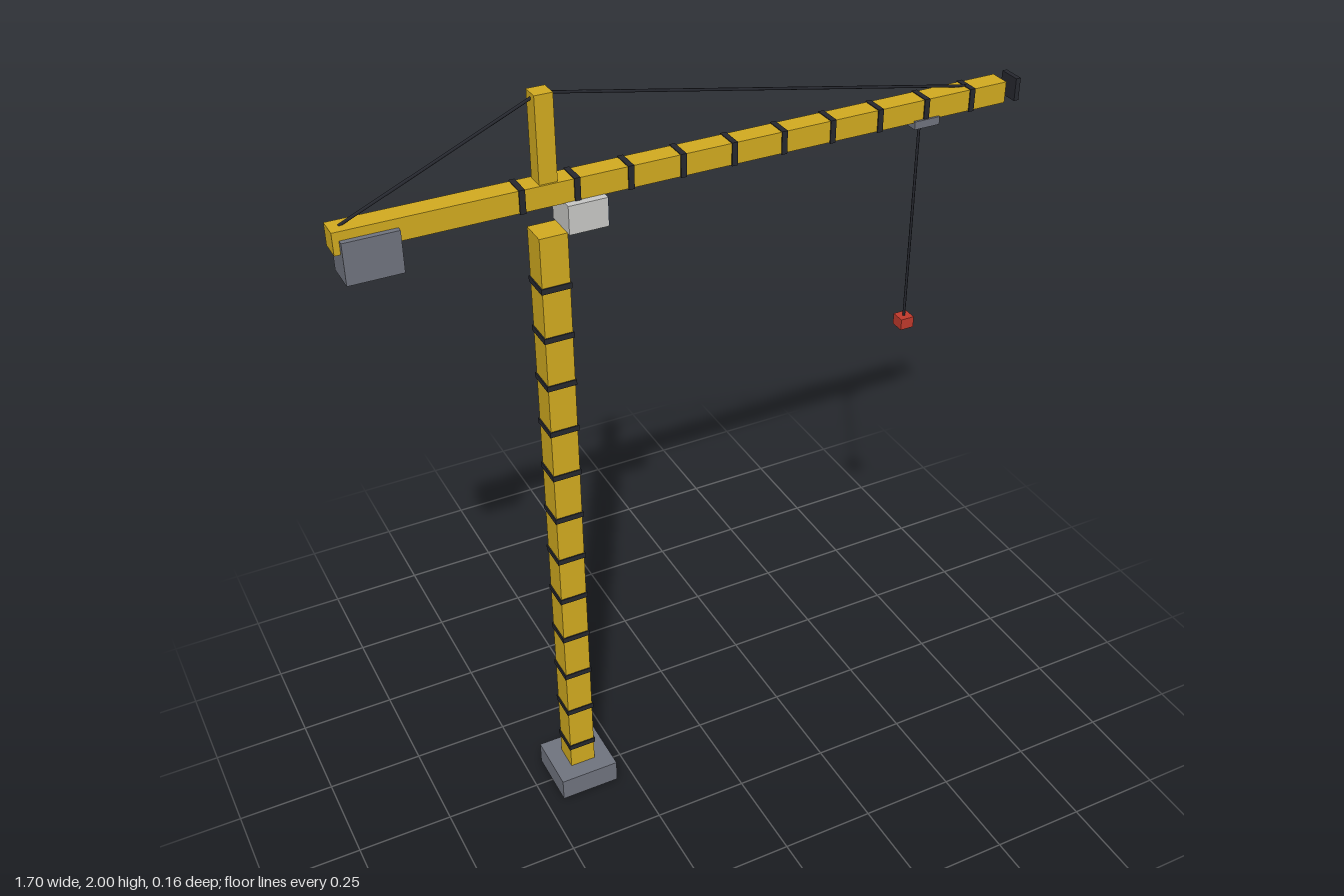
import * as THREE from 'three';

export function createModel() {
  const crane = new THREE.Group();
  crane.name = 'towerCrane';

  const paint = (name, color) => {
    const m = new THREE.MeshStandardMaterial({ color });
    m.name = name;
    return m;
  };
  const yellow = paint('yellow', 0xd2ab20);
  const grey = paint('concreteGrey', 0x70747f);
  const dark = paint('darkSteel', 0x26282f);
  const pale = paint('cabGrey', 0xc8c8c6);
  const blue = paint('glassBlue', 0x4a6798);
  const red = paint('red', 0xc03a2c);

  const box = (name, mat, [w, h, d], [x, y, z]) => {
    const mesh = new THREE.Mesh(new THREE.BoxGeometry(w, h, d), mat);
    mesh.name = name;
    mesh.position.set(x, y, z);
    crane.add(mesh);
    return mesh;
  };

  // Thin round cable between two points
  const cable = (name, mat, from, to, radius) => {
    const a = new THREE.Vector3(...from);
    const b = new THREE.Vector3(...to);
    const dir = b.clone().sub(a);
    const mesh = new THREE.Mesh(new THREE.CylinderGeometry(radius, radius, dir.length(), 6), mat);
    mesh.name = name;
    mesh.position.copy(a).add(b).multiplyScalar(0.5);
    mesh.quaternion.setFromUnitVectors(new THREE.Vector3(0, 1, 0), dir.normalize());
    crane.add(mesh);
  };

  const mastX = -0.374;
  const pitch = 0.1284;

  // Foundation and mast with section bands
  box('base', grey, [0.158, 0.063, 0.158], [mastX, 0.0315, 0]);
  box('mast', yellow, [0.068, 1.612, 0.068], [mastX, 0.869, 0]);
  for (let i = 0; i < 12; i++) {
    box('mastBand', dark, [0.074, 0.014, 0.074], [mastX, 0.132 + i * pitch, 0]);
  }

  // Horizontal jib with section bands and end plate
  box('jib', yellow, [1.664, 0.053, 0.053], [-0.021, 1.7695, 0]);
  for (let i = 0; i < 10; i++) {
    box('jibBand', dark, [0.014, 0.057, 0.059], [-0.438 + i * 0.1279, 1.7695, 0]);
  }
  box('jibEndPlate', dark, [0.013, 0.057, 0.057], [0.845, 1.7705, 0]);

  // Apex post and tie cables
  box('apexPost', yellow, [0.043, 0.205, 0.043], [mastX, 1.8975, 0]);
  cable('rearTie', dark, [mastX, 1.996, 0], [-0.83, 1.795, 0], 0.0035);
  cable('frontTie', dark, [mastX, 1.996, 0], [0.715, 1.795, 0], 0.0035);

  // Counterweight and operator cab
  box('counterweight', grey, [0.127, 0.1, 0.08], [-0.7755, 1.725, 0]);
  box('cab', pale, [0.094, 0.07, 0.09], [-0.294, 1.709, 0]);
  box('cabWindow', blue, [0.003, 0.068, 0.086], [-0.2465, 1.709, 0]);

  // Trolley, hoist rope and load
  box('trolley', grey, [0.069, 0.02, 0.064], [0.587, 1.738, 0]);
  cable('hoistRope', dark, [0.587, 1.73, 0], [0.587, 1.19, 0], 0.0035);
  box('load', red, [0.037, 0.03, 0.037], [0.587, 1.179, 0]);

  return crane;
}
